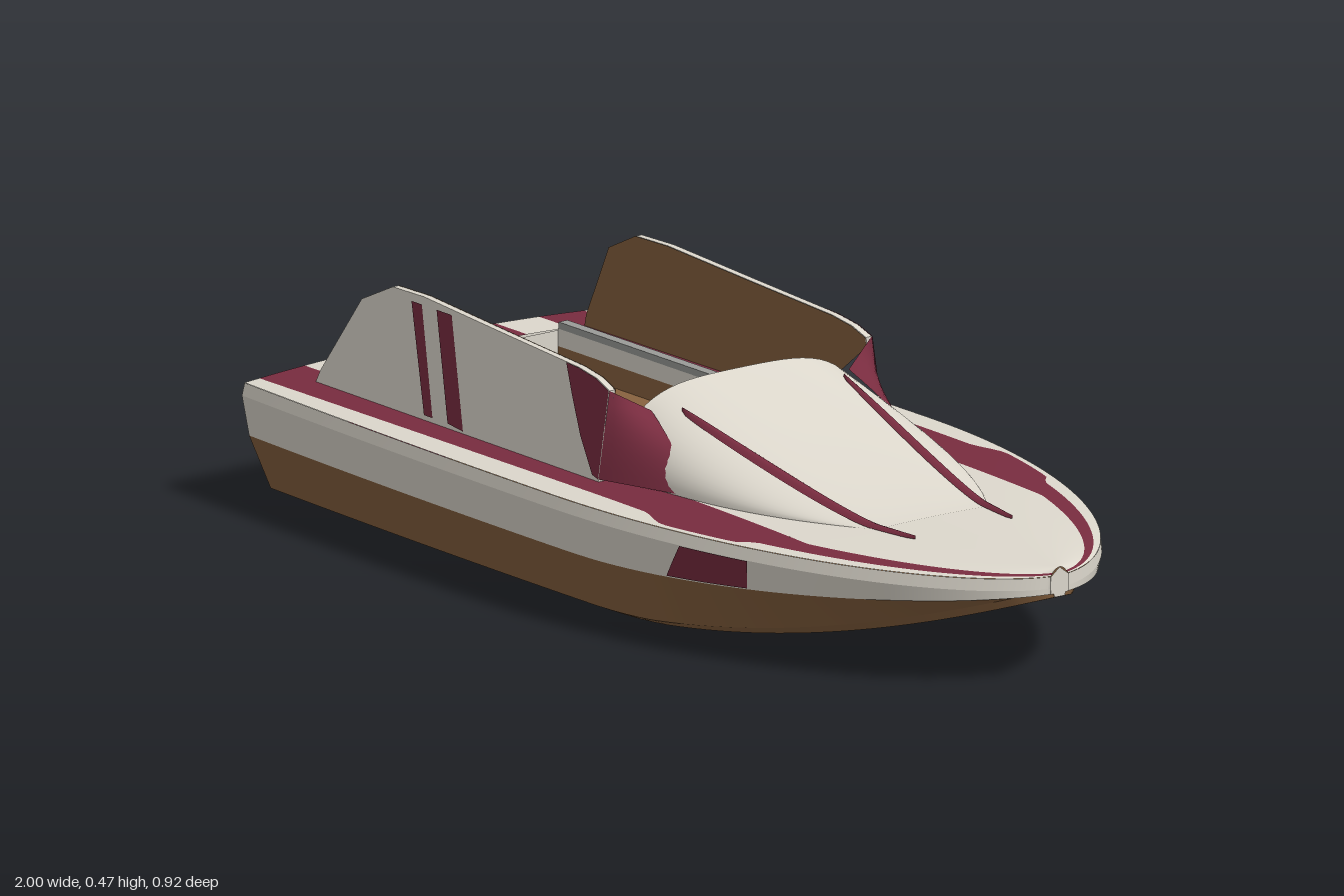
import * as THREE from 'three';

const mat = (name, color) => new THREE.MeshStandardMaterial({ name, color, side: THREE.DoubleSide });
const { lerp, clamp } = THREE.MathUtils;
const ramp = (x, a, b) => clamp((x - a) / (b - a), 0, 1);

// Hull lines, all as functions of the station x (bow at +x)
const halfWidth = x => (x < 0 ? 0.462 - 0.025 * x * x : Math.max(0.022, 0.462 * Math.pow(1 - x * x, 0.58)));
const keelY = x => 0.178 * ramp(x, 0.05, 1) ** 2;
const paintY = x => 0.13 + 0.055 * ramp(x, 0.1, 1) ** 1.5;
const edgeY = x => 0.237 - 0.017 * Math.max(0, x) ** 2;
const deckY = (x, z) => edgeY(x) + 0.017 * Math.max(0, 1 - (z / halfWidth(x)) ** 2);

// Half cross-section from deck edge down to the keel, as [z, y]
function section(x) {
  const w = halfWidth(x), k = keelY(x), chine = lerp(0.84, 0.64, ramp(x, 0.2, 1));
  return [
    [0.985 * w, edgeY(x)], [w, edgeY(x) - 0.024], [0.96 * w, paintY(x)],
    [chine * w, Math.min(k + 0.016, paintY(x))], [(chine - 0.08) * w, k], [0, k],
  ];
}

// Raised foredeck cowl
const COWL = 0.6;
const cowlW = x => 0.3 * (1 - 0.55 * Math.pow(x / COWL, 2.5));
const cowlY = (x, z) => {
  if (x >= COWL) return deckY(x, z);
  const t = Math.min(1, Math.abs(z) / cowlW(x));
  return deckY(x, z) + 0.16 * Math.pow(1 - x / COWL, 1.25) * Math.sqrt(1 - t ** 4);
};

// Surface patch from f(u, v) -> [x, y, z]
function grid(f, nu, nv) {
  const pos = [], idx = [];
  for (let i = 0; i <= nu; i++) for (let j = 0; j <= nv; j++) pos.push(...f(i / nu, j / nv));
  for (let i = 0; i < nu; i++) for (let j = 0; j < nv; j++) {
    const a = i * (nv + 1) + j, b = a + nv + 1;
    idx.push(a, a + 1, b, b, a + 1, b + 1);
  }
  const g = new THREE.BufferGeometry();
  g.setAttribute('position', new THREE.Float32BufferAttribute(pos, 3));
  g.setIndex(idx);
  g.computeVertexNormals();
  return g;
}

function mirrored(geo) {
  const g = geo.clone().scale(1, 1, -1);
  const src = g.index ? Array.from(g.index.array) : Array.from({ length: g.attributes.position.count }, (_, i) => i);
  for (let i = 0; i < src.length; i += 3) [src[i + 1], src[i + 2]] = [src[i + 2], src[i + 1]];
  g.setIndex(src);
  return g;
}

const shapeOf = pts => new THREE.Shape(pts.map(p => new THREE.Vector2(p[0], p[1])));

export function createModel() {
  const model = new THREE.Group();
  model.name = 'speedboat';
  const cream = mat('cream', 0xdcd7cc), brown = mat('brown', 0x88623f);
  const maroon = mat('maroon', 0x782c3f), dark = mat('dark slate', 0x33373e), grey = mat('grey', 0x9a9b98);

  const add = (name, geo, m) => {
    const mesh = new THREE.Mesh(geo, m);
    mesh.name = name;
    model.add(mesh);
  };
  const pair = (name, geo, m) => {
    add(name + 'Left', geo, m);
    add(name + 'Right', mirrored(geo), m);
  };

  // Hull: one strip for each pair of neighbouring section points, denser at the bow
  const station = u => 1 - 2 * Math.pow(1 - u, 2);
  [['gunwale', cream], ['topside', cream], ['lowerSide', brown], ['bilge', brown], ['bottom', brown]].forEach(([name, m], r) => {
    pair(name, grid((u, v) => {
      const x = station(u), s = section(x);
      return [x, lerp(s[r][1], s[r + 1][1], v), lerp(s[r][0], s[r + 1][0], v)];
    }, 70, 1), m);
  });

  // Maroon flash on each topside
  pair('sideFlash', grid((u, v) => {
    const x = lerp(0.36, 0.52, u) - v * lerp(0.05, 0.015, u), s = section(x);
    return [x, lerp(s[1][1], s[2][1], v * 0.96), lerp(s[1][0], s[2][0], v) + 0.003];
  }, 10, 2), maroon);

  // Transom: maroon centre, cream sides; small cap at the bow
  const st = section(-1), top = z => deckY(-1, z), band = 0.18;
  const plate = (pts, x, ry) => new THREE.ShapeGeometry(shapeOf(pts)).rotateY(ry).translate(x, 0, 0);
  add('transomCentre', plate([[-band, 0], [band, 0], [band, top(band)], [0, top(0)], [-band, top(band)]], -1, -Math.PI / 2), maroon);
  pair('transomSide', plate([[band, 0], [band, top(band)], ...st.slice(0, 5)], -1, -Math.PI / 2), cream);
  const bow = section(1);
  add('bowCap', plate([[0, deckY(1, 0)], ...bow, ...bow.slice(0, 5).reverse().map(p => [-p[0], p[1]])], 1, Math.PI / 2), cream);

  // Deck: lengthwise painted bands
  const inner = x => Math.min(0.285, 0.78 * halfWidth(x));
  const outer = x => {
    const w = halfWidth(x);
    const mid = lerp(0.395, w - 0.02, ramp(x, 0.22, 0.29));
    return lerp(Math.min(mid, w - 0.012), 0.9 * w, ramp(x, 0.47, 0.5));
  };
  const deckBand = (name, x0, x1, za, zb, m, n = 4) => pair(name, grid((u, v) => {
    const x = x0 === -1 && x1 === 1 ? station(u) : x0 + (x1 - x0) * (1 - (1 - u) ** 2);
    const z = lerp(za(x), zb(x), v);
    return [x, deckY(x, z), z];
  }, 105, n), m);
  const at = c => () => c;
  const floorY = 0.165, trimY = 0.215, rimY = 0.25, wallZ = 0.255;
  deckBand('deckStripe', -1, 1, inner, outer, maroon);
  deckBand('deckEdge', -1, 1, outer, x => 0.985 * halfWidth(x), cream, 2);
  deckBand('foredeck', 0, 1, at(0), inner, cream, 6);
  deckBand('sideLedge', -0.9, 0, at(wallZ), at(0.285), cream, 1);
  deckBand('sternDeckCentre', -1, -0.9, at(0), at(band), maroon);
  deckBand('sternDeckSide', -1, -0.9, at(band), at(0.285), cream);

  // Cockpit: brown tub with a cream band around its top
  add('cockpitFloor', new THREE.BoxGeometry(0.91, 0.01, 2 * wallZ).translate(-0.45, floorY, 0), brown);
  for (const [name, y0, y1, m] of [['cockpitLiner', floorY, trimY, brown], ['cockpitTrim', trimY, rimY, cream]]) {
    const across = [[-wallZ, y0], [wallZ, y0], [wallZ, y1], [-wallZ, y1]];
    pair(name + 'Side', grid((u, v) => [-0.9 + 0.9 * u, lerp(y0, y1, v), wallZ], 1, 1), m);
    add(name + 'Front', plate(across, 0, -Math.PI / 2), m);
  }
  add('cockpitSternWall', plate([[-wallZ, floorY], [wallZ, floorY], [wallZ, 0.247], [-wallZ, 0.247]], -0.9, Math.PI / 2), cream);
  pair('coamingRail', new THREE.BoxGeometry(0.9, 0.014, 0.022).translate(-0.45, 0.256, 0.267), grey);

  // Dark bulkhead closing the cowl from behind
  const arch = [];
  for (let i = -8; i <= 8; i++) arch.push([i * 0.03, cowlY(0, i * 0.03) - 0.004]);
  add('bulkhead', plate([[-0.34, rimY], [-0.313, 0.41], ...arch, [0.313, 0.41], [0.34, rimY]], 0.004, -Math.PI / 2), dark);

  // Foredeck cowl with two raised blades
  add('cowl', grid((u, v) => {
    const x = COWL * u, z = cowlW(x) * Math.sin((v - 0.5) * Math.PI);
    return [x, cowlY(x, z) + 0.001, z];
  }, 28, 36), cream);
  pair('cowlBlade', grid((u, v) => {
    const x = lerp(0.07, 0.7, u), k = 2 * v - 1;
    const z = 0.197 - 0.079 * Math.pow(u, 1.1) + k * 0.014 * Math.pow(Math.sin(Math.PI * u) + 1e-4, 0.35);
    return [x, cowlY(x, z) + 0.003 + 0.007 * (1 - k * k), z];
  }, 40, 4), maroon);

  // Maroon fairing between wing and cowl
  const [A, B, C, D] = [[0, 0.422, 0.319], [0, 0.25, 0.346], [0.19, 0.25, 0.287], [0.03, 0.376, 0.24]];
  pair('wingFairing', grid((u, v) => [0, 1, 2].map(i =>
    lerp(lerp(A[i], B[i], v), lerp(D[i], C[i], v), u) + (i === 0 ? 0.03 * Math.sin(Math.PI * v) * u : 0)), 8, 8), maroon);

  // Side wings: leaning panels, brown inside, painted outside
  const lean = (geo) => {
    const p = geo.attributes.position;
    for (let i = 0; i < p.count; i++)
      p.setZ(i, p.getZ(i) + 0.345 - 0.15 * (p.getY(i) - 0.25) + 0.012 * p.getX(i));
    geo.computeVertexNormals();
    return geo;
  };
  const outline = [[-0.9, 0.245], [-0.89, 0.27], [-0.79, 0.43], [-0.7, 0.473], [-0.6, 0.475], [-0.35, 0.46], [-0.1, 0.446], [-0.04, 0.437], [0, 0.422], [0, 0.245]];
  const thick = 0.014;
  const skin = (pts, off) => lean(new THREE.ShapeGeometry(shapeOf(pts)).translate(0, 0, off));
  pair('wing', lean(new THREE.ExtrudeGeometry(shapeOf(outline), { depth: thick, bevelEnabled: false }).translate(0, 0, -thick)), cream);
  pair('wingLining', skin(outline, -thick - 0.002), brown);
  pair('wingFrontPaint', skin([[-0.14, 0.448], [-0.1, 0.446], [-0.04, 0.437], [0, 0.422], [0, 0.25], [-0.02, 0.255], [-0.07, 0.32], [-0.11, 0.39]], 0.002), maroon);
  pair('wingStripeNarrow', skin([[-0.635, 0.46], [-0.602, 0.46], [-0.528, 0.255], [-0.555, 0.255]], 0.002), maroon);
  pair('wingStripeWide', skin([[-0.555, 0.46], [-0.507, 0.46], [-0.43, 0.25], [-0.48, 0.255]], 0.002), maroon);

  return model;
}
